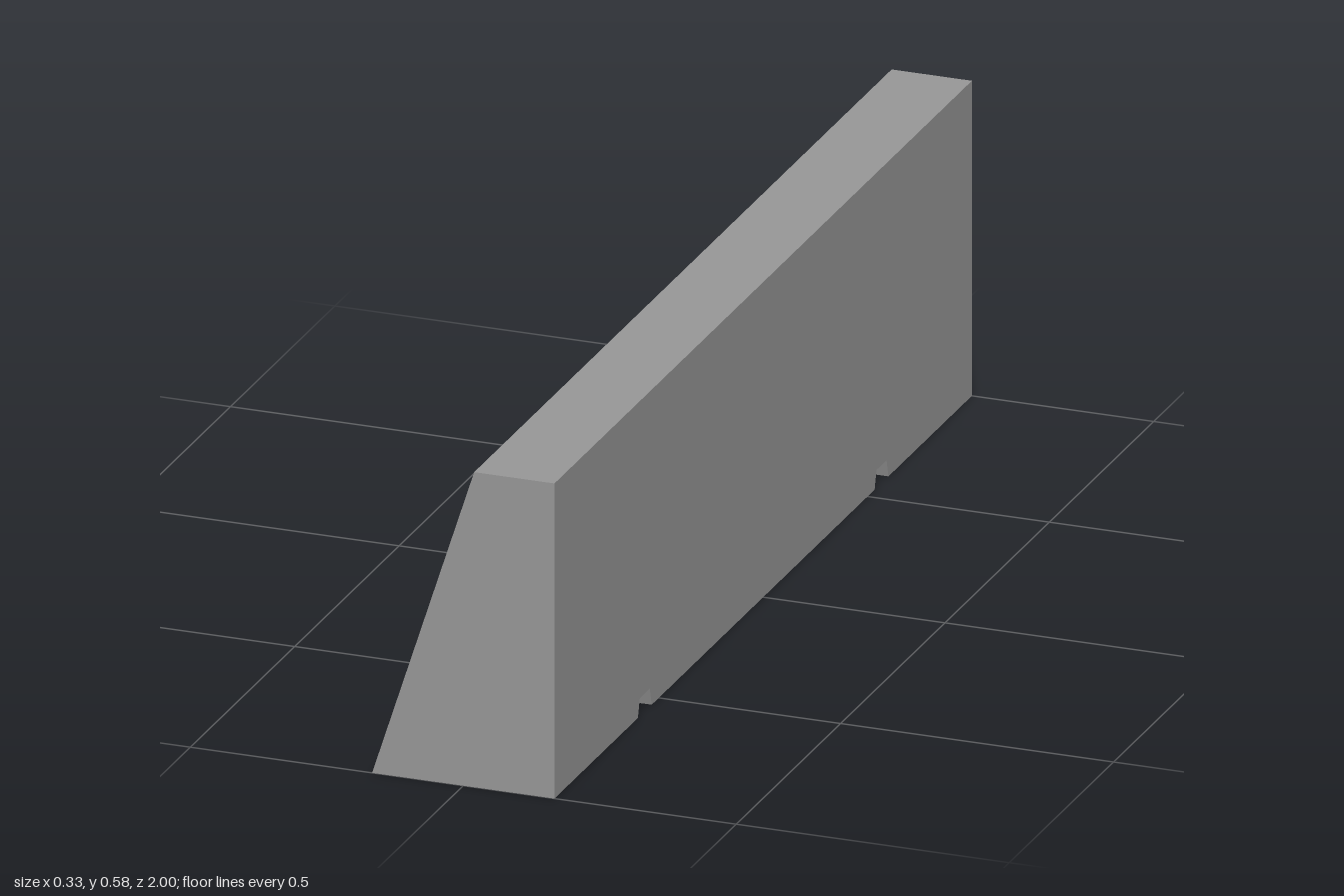
import * as THREE from 'three';

const HEIGHT = 0.58, HALF_WIDTH = 0.167, TOP_EDGE = 0.02;

export function createModel() {
  const group = new THREE.Group();
  group.name = 'barrier';
  const concrete = new THREE.MeshStandardMaterial({ color: 0x999999 });
  concrete.name = 'concrete grey';

  // Long side outline with two tapered drainage notches in the base
  const outline = new THREE.Shape();
  outline.moveTo(-1, 0);
  for (const c of [-0.567, 0.567]) {
    outline.lineTo(c - 0.033, 0);
    outline.lineTo(c - 0.024, 0.033);
    outline.lineTo(c + 0.024, 0.033);
    outline.lineTo(c + 0.033, 0);
  }
  outline.lineTo(1, 0);
  outline.lineTo(1, HEIGHT);
  outline.lineTo(-1, HEIGHT);
  outline.closePath();

  const geometry = new THREE.ExtrudeGeometry(outline, { depth: 1, bevelEnabled: false });
  geometry.rotateY(Math.PI / 2);

  // Lean the right face inwards towards the top; the left face stays upright
  const p = geometry.attributes.position;
  for (let i = 0; i < p.count; i++) {
    const slope = THREE.MathUtils.lerp(-HALF_WIDTH, TOP_EDGE, p.getY(i) / HEIGHT);
    p.setX(i, p.getX(i) > 0.5 ? HALF_WIDTH : slope);
  }
  geometry.computeVertexNormals();

  const body = new THREE.Mesh(geometry, concrete);
  body.name = 'barrierBody';
  group.add(body);
  return group;
}
